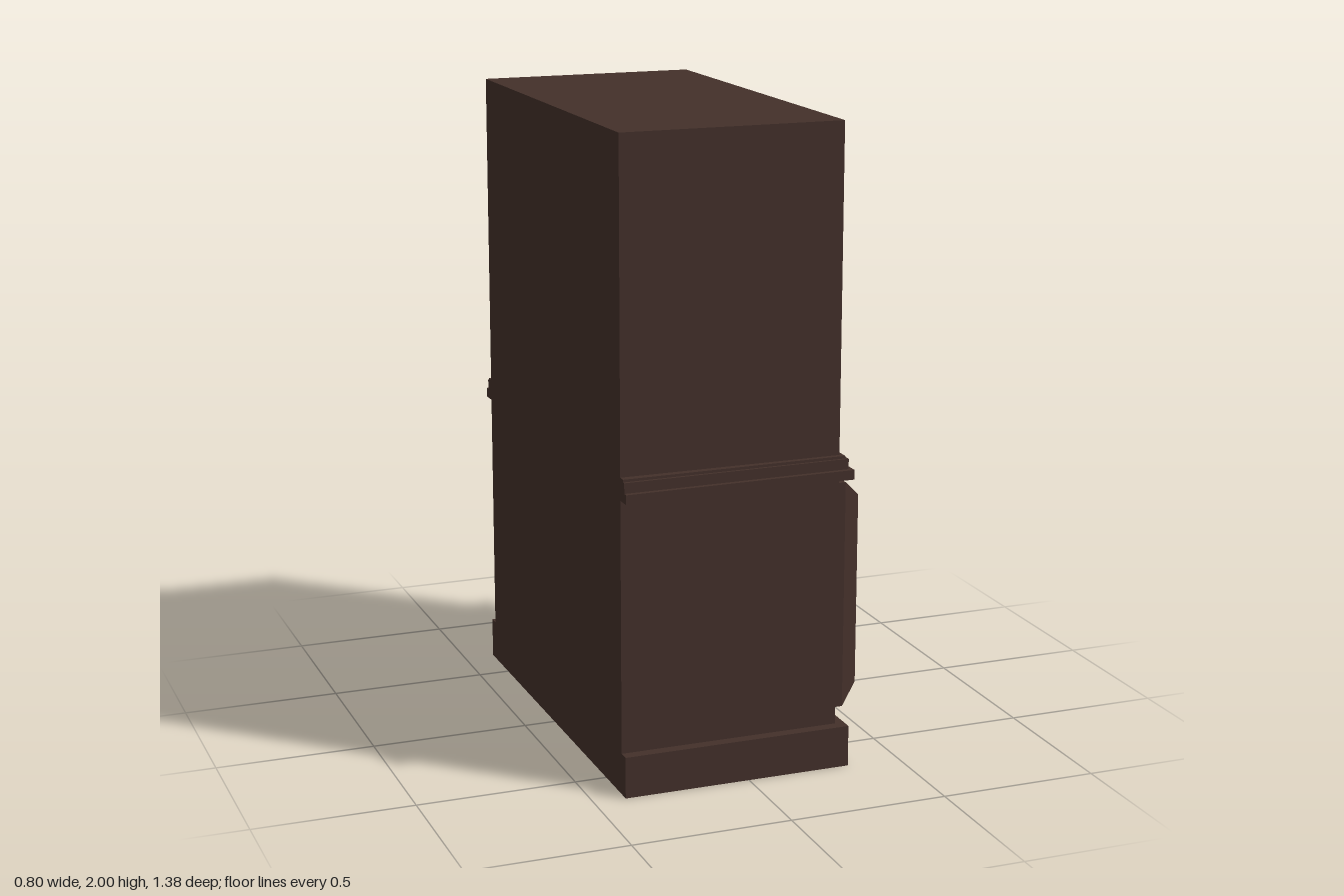
import * as THREE from 'three';

const wood = new THREE.MeshStandardMaterial({ color: 0x43302a });
const lining = new THREE.MeshStandardMaterial({ color: 0xcd6f2a, side: THREE.BackSide });
const brass = new THREE.MeshStandardMaterial({ color: 0xc9a93a });
const BACK = -0.4, FRONT = 0.3;

function add(parent, name, geometry, material = wood) {
  const mesh = new THREE.Mesh(geometry, material);
  mesh.name = name;
  parent.add(mesh);
  return mesh;
}

// Box given by its limits on each axis
function box(x0, x1, y0, y1, z0, z1) {
  return new THREE.BoxGeometry(x1 - x0, y1 - y0, z1 - z0)
    .translate((x0 + x1) / 2, (y0 + y1) / 2, (z0 + z1) / 2);
}

// Rectangle in (z, y) centred on z = 0
function rect(Type, halfZ, y0, y1) {
  const p = new Type();
  p.moveTo(-halfZ, y0);
  p.lineTo(halfZ, y0);
  p.lineTo(halfZ, y1);
  p.lineTo(-halfZ, y1);
  p.closePath();
  return p;
}

// Rectangular frame facing +x, extruded from x0 to x1
function frame(x0, x1, outer, inner) {
  const shape = rect(THREE.Shape, ...outer);
  shape.holes.push(rect(THREE.Path, ...inner));
  return new THREE.ExtrudeGeometry(shape, { depth: x1 - x0, bevelEnabled: false })
    .rotateY(Math.PI / 2).translate(x0, 0, 0);
}

// Slab whose sides narrow slightly toward the front
function taperedSlab(y0, y1, front, zBack, zFront) {
  const g = box(BACK, front, y0, y1, -zBack, zBack);
  const p = g.attributes.position;
  for (let i = 0; i < p.count; i++) {
    if (p.getX(i) > 0) p.setZ(i, Math.sign(p.getZ(i)) * zFront);
  }
  g.computeVertexNormals();
  return g;
}

// Block whose front (+x) face is drawn in to a smaller rectangle
function taperedBlock(x0, x1, y0, y1, halfZ, insetY, insetZ) {
  let g = box(x0, x1, y0, y1, -halfZ, halfZ);
  const p = g.attributes.position, mid = (y0 + y1) / 2;
  for (let i = 0; i < p.count; i++) {
    if (p.getX(i) < (x0 + x1) / 2) continue;
    p.setY(i, p.getY(i) - Math.sign(p.getY(i) - mid) * insetY);
    p.setZ(i, p.getZ(i) - Math.sign(p.getZ(i)) * insetZ);
  }
  g = g.toNonIndexed();
  g.computeVertexNormals();
  return g;
}

function makeDrawer(name, y0, y1, handleY) {
  const drawer = new THREE.Group();
  drawer.name = name;
  add(drawer, 'drawerFrame', frame(FRONT - 0.005, 0.32, [0.49, y0, y1], [0.445, y0 + 0.05, y1 - 0.05]));
  add(drawer, 'drawerPanel', taperedBlock(FRONT - 0.005, 0.312, y0 + 0.054, y1 - 0.054, 0.441, 0.022, 0.022));

  // Bent bar pull
  const path = new THREE.CurvePath();
  const v = (x, z) => new THREE.Vector3(x, handleY, z);
  path.add(new THREE.LineCurve3(v(0.354, -0.04), v(0.372, -0.04)));
  path.add(new THREE.QuadraticBezierCurve3(v(0.372, -0.04), v(0.387, -0.04), v(0.387, -0.025)));
  path.add(new THREE.LineCurve3(v(0.387, -0.025), v(0.387, 0.025)));
  path.add(new THREE.QuadraticBezierCurve3(v(0.387, 0.025), v(0.387, 0.04), v(0.372, 0.04)));
  path.add(new THREE.LineCurve3(v(0.372, 0.04), v(0.354, 0.04)));
  add(drawer, 'handle', new THREE.TubeGeometry(path, 32, 0.008, 10), brass);
  for (const s of [-1, 1]) {
    const cap = new THREE.CircleGeometry(0.008, 10).rotateY(-Math.PI / 2);
    add(drawer, 'handleEnd', cap.translate(0.354, handleY, s * 0.04), brass);
  }
  return drawer;
}

export function createModel() {
  const model = new THREE.Group();
  model.name = 'cabinet';

  // Lower cabinet and plinth
  add(model, 'plinth', box(BACK, 0.33, 0, 0.13, -0.675, 0.675));
  add(model, 'lowerBody', box(BACK, FRONT, 0.13, 0.985, -0.64, 0.64));

  // Stepped waist moulding
  add(model, 'mouldingLower', taperedSlab(0.92, 0.95, 0.333, 0.69, 0.679));
  add(model, 'mouldingUpper', taperedSlab(0.95, 0.982, 0.32, 0.674, 0.664));
  add(model, 'mouldingLip', taperedSlab(0.982, 0.99, 0.312, 0.664, 0.656));

  // Open upper cabinet: shell, back, coloured lining and shelf
  add(model, 'upperShell', frame(BACK + 0.02, FRONT, [0.64, 0.985, 2], [0.62, 1.012, 1.975]));
  add(model, 'upperBack', box(BACK, BACK + 0.02, 0.985, 2, -0.64, 0.64));
  const liner = box(-0.37, FRONT - 0.002, 1.014, 1.973, -0.618, 0.618);
  liner.setIndex(Array.from(liner.index.array).slice(6)); // leave the +x side open
  liner.clearGroups();
  add(model, 'lining', liner, lining);
  add(model, 'shelf', box(-0.37, FRONT - 0.001, 1.188, 1.214, -0.62, 0.62));

  // Drawers and the thin rail above them
  model.add(makeDrawer('upperDrawer', 0.52, 0.828, 0.662));
  model.add(makeDrawer('lowerDrawer', 0.175, 0.457, 0.322));
  add(model, 'topRail', taperedBlock(FRONT - 0.005, 0.312, 0.865, 0.885, 0.49, 0.006, 0.02));

  // Ridged corner pilasters
  for (const s of [-1, 1]) {
    const pilaster = new THREE.Group();
    pilaster.name = s > 0 ? 'leftPilaster' : 'rightPilaster';
    pilaster.position.z = s * 0.579;
    add(pilaster, 'pilasterBase', box(FRONT - 0.005, 0.33, 0.177, 0.897, -0.045, 0.045));
    add(pilaster, 'pilasterRidge', taperedBlock(0.33, 0.393, 0.177, 0.897, 0.045, 0.057, 0.0445));
    model.add(pilaster);
  }
  return model;
}
